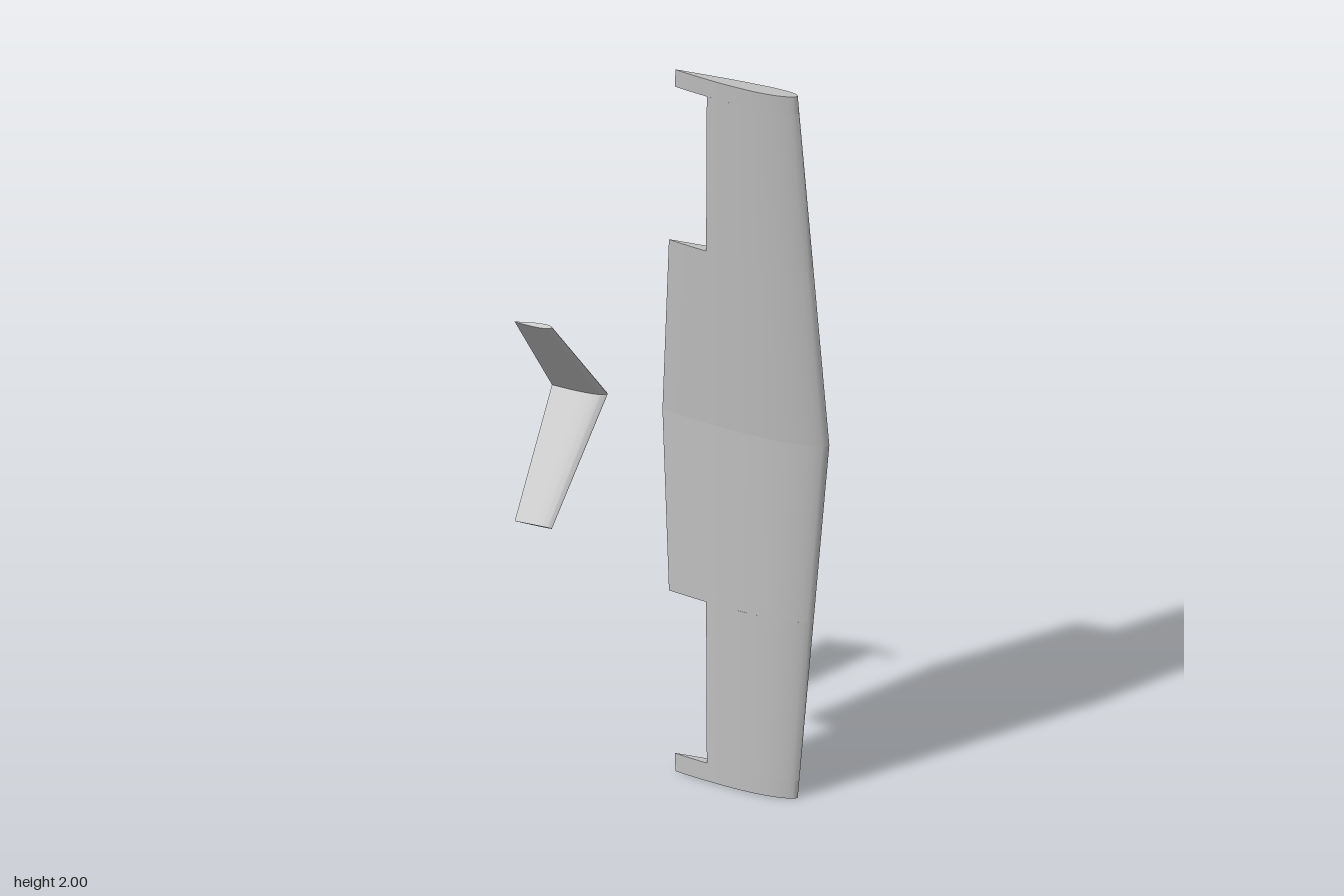
import * as THREE from 'three';
import { toCreasedNormals } from 'three/addons/utils/BufferGeometryUtils.js';

const N = 18; // points per airfoil side

// Height of one airfoil side (+1 upper, -1 lower) at chord fraction u
function airfoil(u, side, t, m) {
  const half = 5 * t * (0.2969 * Math.sqrt(u) - 0.126 * u - 0.3516 * u * u + 0.2843 * u ** 3 - 0.1015 * u ** 4);
  const p = 0.4;
  const camber = u < p ? m / (p * p) * (2 * p * u - u * u)
    : m / ((1 - p) ** 2) * (1 - 2 * p + 2 * p * u - u * u);
  return camber + side * half;
}

// Closed section loop: nose, upper side, trailing edge, lower side
function section({ x, y, z, chord, ny = 0, nz = 1, t, m, twist, cutUp = 1, cutLow = 1 }) {
  const pts = [];
  const add = (i, side) => {
    const u = (1 - Math.cos(Math.PI * i / N)) / 2 * (side > 0 ? cutUp : cutLow);
    const w = (airfoil(u, side, t, m) + twist * u) * chord;
    pts.push([x - u * chord, y + w * ny, z + w * nz]);
  };
  for (let i = 0; i <= N; i++) add(i, 1);
  for (let i = N; i >= 1; i--) add(i, -1);
  return pts;
}

// Capped loft between two sections; mirror = -1 reflects it about y = 1
function loft(inner, outer, mirror) {
  const n = inner.length, pos = [], idx = [];
  for (const p of [...inner, ...outer]) pos.push(p[0], 1 + mirror * p[1], p[2]);
  const tri = (a, b, c) => (mirror > 0 ? idx.push(a, b, c) : idx.push(a, c, b));
  for (let i = 0; i < n; i++) {
    const j = (i + 1) % n;
    tri(i, n + i, j);
    tri(j, n + i, n + j);
  }
  const low = i => (i === 0 ? 0 : n - i);
  for (let i = 0; i < N; i++) {
    const quad = [i, i + 1, low(i + 1), low(i)];
    const tris = i === 0 ? [[0, 1, 2]] : [[0, 1, 2], [0, 2, 3]];
    for (const [a, b, c] of tris) {
      tri(quad[a], quad[b], quad[c]);
      tri(n + quad[a], n + quad[c], n + quad[b]);
    }
  }
  const g = new THREE.BufferGeometry();
  g.setAttribute('position', new THREE.Float32BufferAttribute(pos, 3));
  g.setIndex(idx);
  return toCreasedNormals(g, 0.6);
}

export function createModel() {
  const group = new THREE.Group();
  const grey = new THREE.MeshStandardMaterial({ color: 0xc0c0c0 });
  grey.name = 'light grey';
  const lerp = THREE.MathUtils.lerp;

  // Wing station at span distance s from the centre
  const wing = (s, cut) => section({
    x: lerp(0.385, 0.315, s), y: s, z: lerp(-0.077, -0.04, s), chord: lerp(0.457, 0.335, s),
    t: 0.118, m: 0.015, twist: -0.03,
    cutUp: cut ? 0.725 : 1, cutLow: cut ? 0.752 : 1,
  });
  // Tail sections stand square to the slanted span
  const tail = { ny: -0.61, nz: 0.79, t: 0.125, m: 0, twist: 0.045 };
  const tailRoot = section({ ...tail, x: -0.229, y: 0, z: -0.111, chord: 0.147 });
  const tailTip = section({ ...tail, x: -0.29, y: 0.287, z: 0.106, chord: 0.099 });

  for (const [side, mirror] of [['upper', 1], ['lower', -1]]) {
    const half = new THREE.Group();
    half.name = side + 'Half';
    const add = (name, a, b) => {
      const mesh = new THREE.Mesh(loft(a, b, mirror), grey);
      mesh.name = name;
      half.add(mesh);
    };
    add('innerWingPanel', wing(0), wing(0.5));
    // Shortened panel leaves the aileron bay open
    add('aileronBayPanel', wing(0.5, true), wing(0.95, true));
    add('wingTip', wing(0.95), wing(1));
    add('tailPanel', tailRoot, tailTip);
    group.add(half);
  }
  return group;
}
